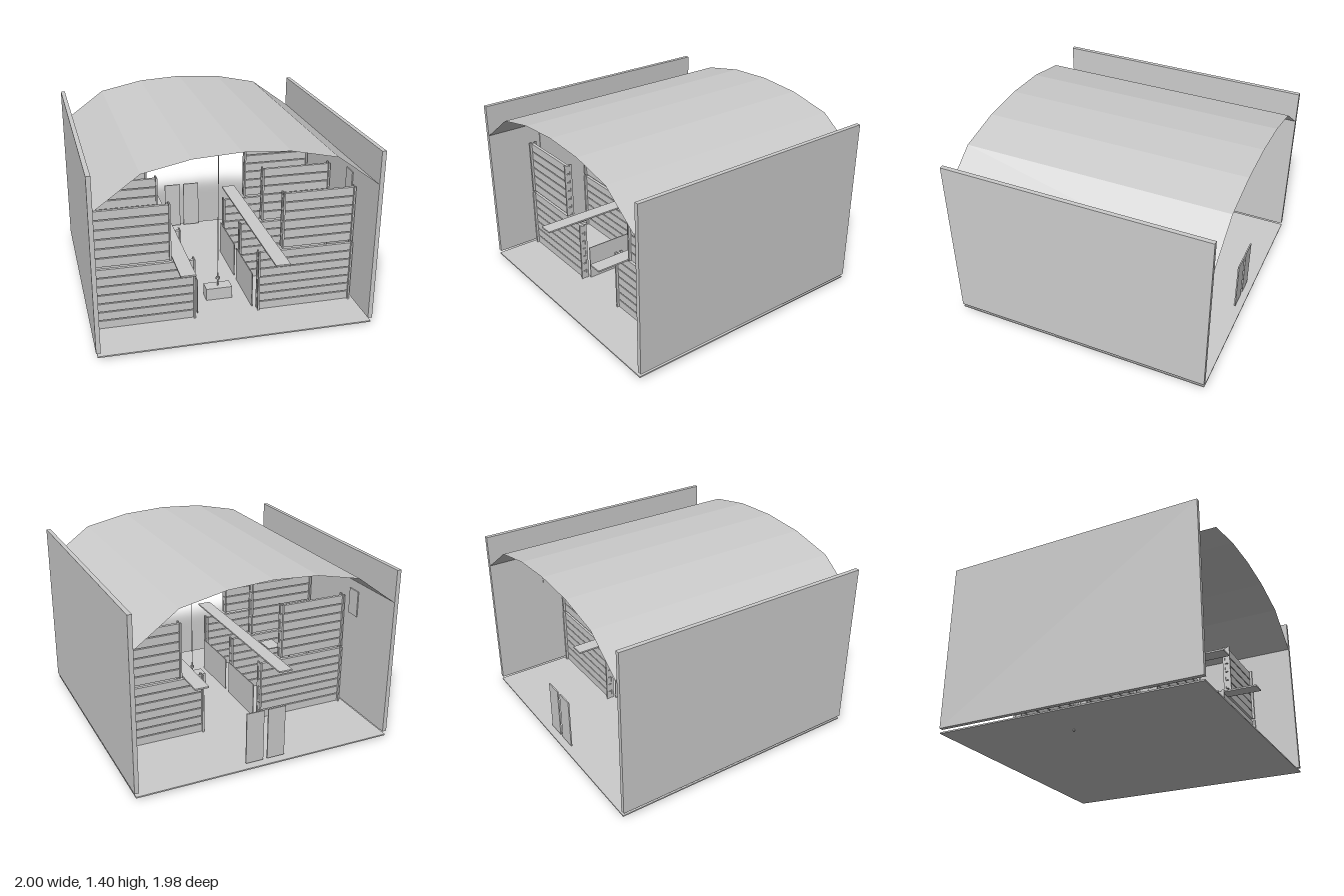
import * as THREE from 'three';

const material = new THREE.MeshStandardMaterial({ color: 0xcccccc, flatShading: true });
const thin = new THREE.MeshStandardMaterial({ color: 0xcccccc, flatShading: true, side: THREE.DoubleSide });

// Box given by its limits on each axis
function box(parent, name, [x0, x1], [y0, y1], [z0, z1]) {
  const mesh = new THREE.Mesh(new THREE.BoxGeometry(Math.abs(x1 - x0), y1 - y0, z1 - z0), material);
  mesh.position.set((x0 + x1) / 2, (y0 + y1) / 2, (z0 + z1) / 2);
  mesh.name = name;
  parent.add(mesh);
  return mesh;
}

function rod(parent, name, radius, x, [y0, y1], z, sides = 8) {
  const mesh = new THREE.Mesh(new THREE.CylinderGeometry(radius, radius, y1 - y0, sides), material);
  mesh.position.set(x, (y0 + y1) / 2, z);
  mesh.name = name;
  parent.add(mesh);
}

// Stacked boards held at each end between a pair of uprights
function boardPanel(name, side, [x0, x1], [y0, y1], boards, z) {
  const panel = new THREE.Group();
  panel.name = name;
  const step = (y1 - y0) / boards;
  for (let i = 0; i < boards; i++) {
    box(panel, 'board', [side * (x0 + 0.003), side * (x1 - 0.003)],
      [y0 + i * step, y0 + (i + 1) * step - 0.008], [z - 0.012, z + 0.012]);
  }
  for (const x of [x0, x1 - 0.013]) {
    for (const dz of [-0.021, 0.021]) {
      box(panel, 'upright', [side * x, side * (x + 0.013)], [y0, y1], [z + dz - 0.009, z + dz + 0.009]);
    }
  }
  return panel;
}

// Thin arched roof made of six flat strips
function archedRoof() {
  const half = [[0, 1.405], [0.33, 1.385], [0.66, 1.315], [0.968, 1.09]];
  const profile = [...half.slice(1).reverse().map(([x, y]) => [-x, y]), ...half];
  const geometry = new THREE.PlaneGeometry(1, 1, profile.length - 1, 1);
  const position = geometry.attributes.position;
  for (let i = 0; i < position.count; i++) {
    const [x, y] = profile[i % profile.length];
    position.setXYZ(i, x, y, i < profile.length ? -0.99 : 0.99);
  }
  geometry.computeVertexNormals();
  const roof = new THREE.Mesh(geometry, thin);
  roof.name = 'roof';
  return roof;
}

export function createModel() {
  const model = new THREE.Group();
  model.name = 'stable';

  box(model, 'floor', [-0.99, 0.99], [0.014, 0.024], [-0.99, 0.99]);
  model.add(archedRoof());

  for (const side of [-1, 1]) {
    const half = new THREE.Group();
    half.name = side > 0 ? 'leftSide' : 'rightSide';
    model.add(half);

    box(half, 'wall', [side * 0.968, side * 1], [0.05, 1.33], [-0.99, 0.99]);
    for (const z of [-0.5, 0.5]) {
      box(half, 'window', [side * 0.96, side * 0.97], [0.82, 1.02], [z - 0.055, z + 0.055]);
    }

    // Stall dividers: long lower panel and shorter upper panel
    for (const z of [0.63, 0.13, -0.37]) {
      half.add(boardPanel('lowerDivider', side, [0.235, 0.96], [0.024, 0.5], 7, z));
      half.add(boardPanel('upperDivider', side, [0.408, 0.953], [0.515, 0.945], 6, z));
    }

    // Plank resting on the lower dividers
    box(half, 'plank', [side * 0.285, side * 0.393], [0.502, 0.514], [-0.6, 0.9]);

    // Stall gates along the aisle
    for (const z of [0.38, -0.12]) {
      box(half, 'gate', [side * 0.205, side * 0.212], [0.03, 0.3], [z - 0.22, z + 0.22]);
    }

    // Back door leaf
    box(half, 'backDoor', [side * 0.016, side * 0.152], [0.035, 0.43], [-0.94, -0.93]);
  }

  // Crate on the hoist rope
  const hoist = new THREE.Group();
  hoist.name = 'hoist';
  model.add(hoist);
  box(hoist, 'crate', [-0.1, 0.1], [0.024, 0.118], [0.33, 0.43]);
  rod(hoist, 'hookShank', 0.007, 0, [0.118, 0.22], 0.38);
  rod(hoist, 'hookBlock', 0.016, 0, [0.172, 0.188], 0.38);
  rod(hoist, 'rope', 0.003, 0, [0.22, 1.39], 0.38, 6);
  rod(hoist, 'pulley', 0.01, 0, [1.355, 1.368], 0.38);

  // Post with foot and small shelf inside the right stall
  const stand = new THREE.Group();
  stand.name = 'stand';
  model.add(stand);
  rod(stand, 'standPost', 0.007, -0.64, [0, 0.515], -0.12);
  box(stand, 'standFoot', [-0.715, -0.565], [0.024, 0.05], [-0.195, -0.045]);
  box(stand, 'smallShelf', [-0.52, -0.41], [0.501, 0.508], [-0.195, -0.045]);

  return model;
}
